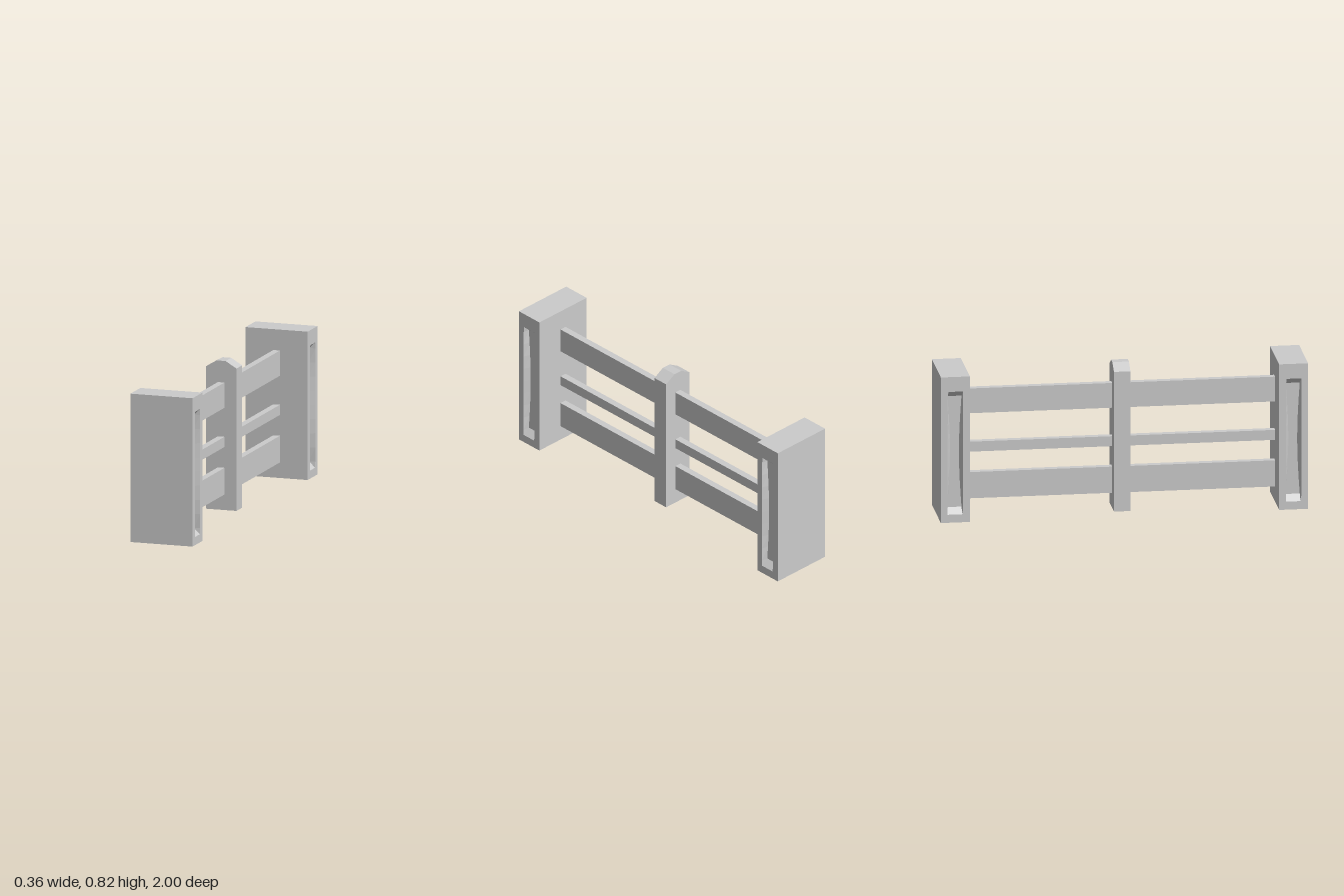
import * as THREE from 'three';

const HEIGHT = 0.818, HALF_X = 0.178, HALF_Z = 0.079; // end post size
const POCKET = { y0: 0.045, y1: 0.735, half: 0.042, depth: 0.035 };

const material = new THREE.MeshStandardMaterial({
  color: 0xcccccc, flatShading: true, side: THREE.DoubleSide,
});

function add(parent, name, geometry, x = 0, y = 0, z = 0) {
  const mesh = new THREE.Mesh(geometry, material);
  mesh.name = name;
  mesh.position.set(x, y, z);
  parent.add(mesh);
  return mesh;
}

// Post side facing +z in its own frame, with a rectangular opening
function sideGeometry() {
  const { y0, y1, half } = POCKET;
  const shape = new THREE.Shape([[-HALF_Z, 0], [HALF_Z, 0], [HALF_Z, HEIGHT], [-HALF_Z, HEIGHT]]
    .map(p => new THREE.Vector2(...p)));
  shape.holes.push(new THREE.Path([[-half, y0], [-half, y1], [half, y1], [half, y0]]
    .map(p => new THREE.Vector2(...p))));
  return new THREE.ShapeGeometry(shape);
}

// Sunken panel: sloped ends, side walls that bow inward at mid height
function pocketGeometry() {
  const { y0, y1, half, depth } = POCKET, rows = 10;
  const g = new THREE.PlaneGeometry(1, 1, 3, rows);
  const p = g.attributes.position;
  for (let i = 0; i < p.count; i++) {
    const col = i % 4, row = Math.floor(i / 4);
    const t = THREE.MathUtils.clamp((row - 1) / (rows - 2), 0, 1);
    const inner = col === 1 || col === 2;
    const end = row === 0 || row === rows;
    const y = row === 0 ? y1 : row === rows ? y0 : THREE.MathUtils.lerp(y1 - 0.033, y0 + 0.033, t);
    const w = inner ? half - 0.004 - 0.014 * Math.sin(Math.PI * t) : half;
    p.setXYZ(i, col < 2 ? -w : w, y, inner && !end ? -depth : 0);
  }
  return g;
}

// Hollow end post, open underneath
function endPost(name, z) {
  const post = new THREE.Group();
  post.name = name;
  post.position.z = z;
  for (const s of [1, -1]) {
    const face = add(post, 'postFace', new THREE.PlaneGeometry(2 * HALF_X, HEIGHT), 0, HEIGHT / 2, s * HALF_Z);
    if (s < 0) face.rotation.y = Math.PI;
    const side = new THREE.Group();
    side.name = 'recessedSide';
    side.position.x = s * HALF_X;
    side.rotation.y = s * Math.PI / 2;
    add(side, 'sideFrame', sideGeometry());
    add(side, 'sidePocket', pocketGeometry());
    post.add(side);
  }
  add(post, 'postTop', new THREE.PlaneGeometry(2 * HALF_X, 2 * HALF_Z), 0, HEIGHT, 0).rotation.x = -Math.PI / 2;
  return post;
}

export function createModel() {
  const model = new THREE.Group();
  model.name = 'fenceSection';

  model.add(endPost('frontPost', 1 - HALF_Z), endPost('backPost', HALF_Z - 1));

  // Centre picket with a bevelled top
  const outline = [[-0.088, 0], [0.088, 0], [0.088, 0.785], [0.025, 0.822], [-0.025, 0.822], [-0.088, 0.785]];
  const picket = new THREE.ExtrudeGeometry(new THREE.Shape(outline.map(p => new THREE.Vector2(...p))),
    { depth: 0.09, bevelEnabled: false });
  add(model, 'centrePicket', picket, 0, 0, -0.045);

  // Rails on both sides of the picket
  const rails = [['lowerRail', 0.086, 0.233], ['middleRail', 0.348, 0.404], ['upperRail', 0.564, 0.703]];
  const z0 = 0.045, z1 = 1 - 2 * HALF_Z;
  for (const [name, low, high] of rails) {
    for (const s of [1, -1]) {
      add(model, name, new THREE.BoxGeometry(0.038, high - low, z1 - z0), 0, (low + high) / 2, s * (z0 + z1) / 2);
    }
  }
  return model;
}
